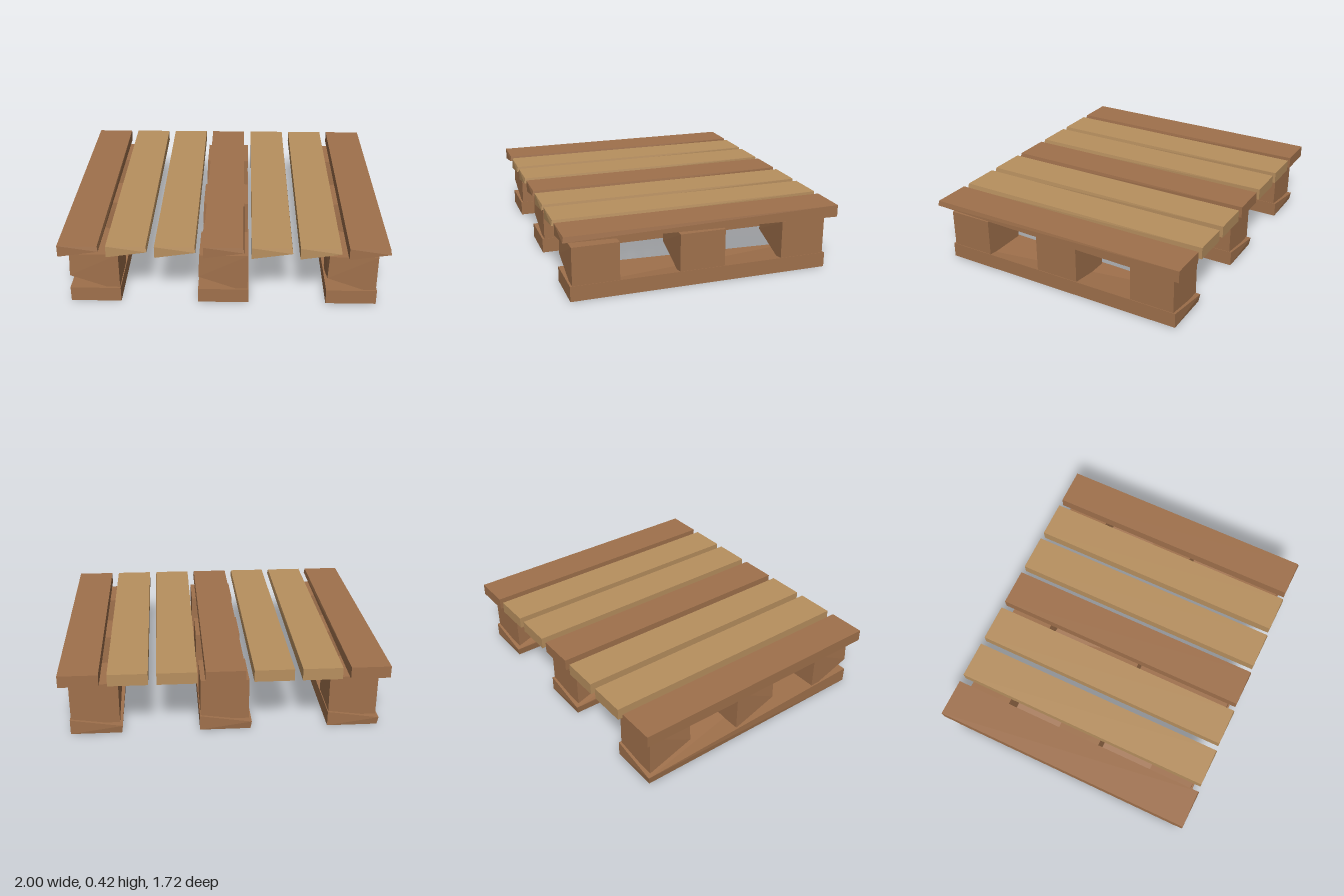
import * as THREE from 'three';

const darkWood = new THREE.MeshStandardMaterial({ color: 0xa0714c, flatShading: true });
const lightWood = new THREE.MeshStandardMaterial({ color: 0xb8905f, flatShading: true });

// Corner index = x bit + 2 * y bit + 4 * z bit, each face counter-clockwise from outside
const FACES = [[1, 3, 7, 5], [0, 4, 6, 2], [2, 6, 7, 3], [0, 1, 5, 4], [4, 5, 7, 6], [0, 2, 3, 1]];

// A sawn timber: a box with one chipped corner moved to a given point.
// Faces touching the chipped corner are split along the diagonal through it.
function chippedBox(min, max, chipped, point) {
  const corners = [];
  for (let i = 0; i < 8; i++) {
    corners.push([0, 1, 2].map((axis) => ((i >> axis) & 1 ? max : min)[axis]));
  }
  corners[chipped] = point;
  const positions = [];
  for (const face of FACES) {
    const start = Math.max(0, face.indexOf(chipped));
    const [a, b, c, d] = [0, 1, 2, 3].map((k) => corners[face[(start + k) % 4]]);
    positions.push(...a, ...b, ...c, ...a, ...c, ...d);
  }
  const geometry = new THREE.BufferGeometry();
  geometry.setAttribute('position', new THREE.Float32BufferAttribute(positions, 3));
  geometry.computeVertexNormals();
  return geometry;
}

function addMesh(parent, name, geometry, material, x, z = 0) {
  const mesh = new THREE.Mesh(geometry, material);
  mesh.name = name;
  mesh.position.set(x, 0, z);
  parent.add(mesh);
}

export function createModel() {
  const pallet = new THREE.Group();
  pallet.name = 'pallet';

  // Seven deck planks, lower front corner chipped upwards
  const plank = chippedBox([-0.122, 0.345, -0.862], [0.12, 0.42, 0.855], 5, [0.125, 0.387, 0.862]);
  const deck = new THREE.Group();
  deck.name = 'deck';
  pallet.add(deck);
  for (let i = 0; i < 7; i++) {
    addMesh(deck, 'deckPlank', plank, i % 3 === 0 ? darkWood : lightWood, -0.878 + i * 0.2917);
  }

  // Three runners, each a bottom beam carrying three spacer blocks
  const beam = chippedBox([-0.155, 0, -0.82], [0.157, 0.095, 0.815], 2, [-0.162, 0.05, -0.828]);
  const block = chippedBox([-0.145, 0.065, -0.143], [0.152, 0.33, 0.143], 4, [-0.152, 0.18, 0.148]);
  for (let i = -1; i <= 1; i++) {
    const runner = new THREE.Group();
    runner.name = 'runner';
    pallet.add(runner);
    const x = i * 0.791 - 0.006;
    addMesh(runner, 'bottomBeam', beam, darkWood, x);
    for (const z of [-0.662, 0, 0.658]) addMesh(runner, 'spacerBlock', block, darkWood, x, z);
  }
  return pallet;
}
